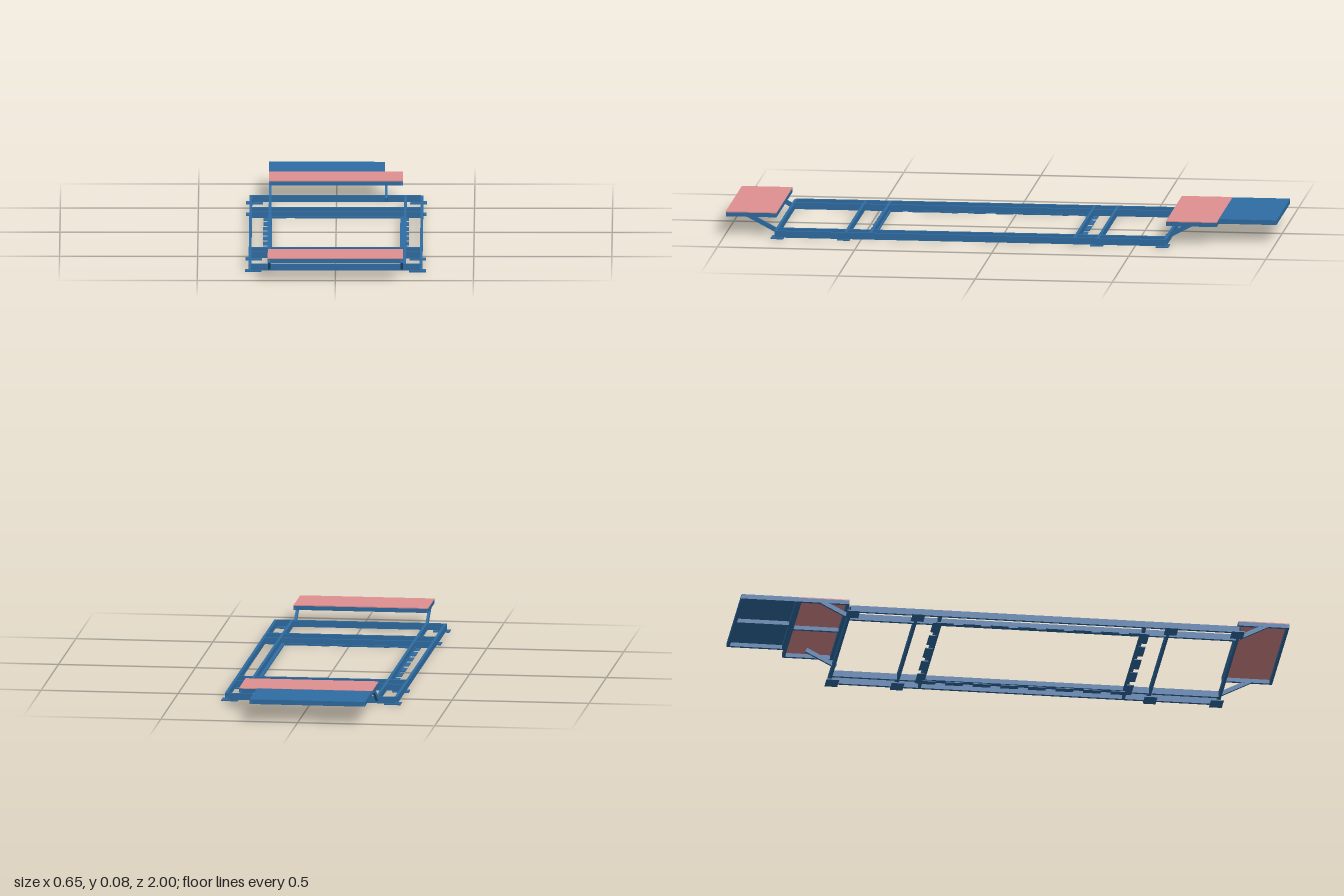
import * as THREE from 'three';

const blue = new THREE.MeshStandardMaterial({ color: 0x2f6ea5 });
const pink = new THREE.MeshStandardMaterial({ color: 0xe09090 });

// Open-ended rectangular tube running along z, centred on the origin
function tubeGeometry(w, h, length, wall = 0.0015) {
  const rect = (P, a, b) => {
    const p = new P();
    p.moveTo(-a, -b); p.lineTo(a, -b); p.lineTo(a, b); p.lineTo(-a, b); p.closePath();
    return p;
  };
  const s = rect(THREE.Shape, w / 2, h / 2);
  s.holes.push(rect(THREE.Path, w / 2 - wall, h / 2 - wall));
  return new THREE.ExtrudeGeometry(s, { depth: length, bevelEnabled: false }).translate(0, 0, -length / 2);
}

function add(parent, name, geometry, material, x, y, z) {
  const m = new THREE.Mesh(geometry, material);
  m.name = name;
  m.position.set(x, y, z);
  parent.add(m);
  return m;
}

function box(parent, name, material, x0, x1, y0, y1, z0, z1) {
  return add(parent, name, new THREE.BoxGeometry(x1 - x0, y1 - y0, z1 - z0), material,
    (x0 + x1) / 2, (y0 + y1) / 2, (z0 + z1) / 2);
}

const W = 0.01, Y0 = 0.004, H = 0.024, YC = Y0 + H / 2;

function railZ(parent, name, x, z0, z1, w = W, y = YC, h = H) {
  add(parent, name, tubeGeometry(w, h, z1 - z0), blue, x, y, (z0 + z1) / 2);
}

function railX(parent, name, z, x0, x1, w = W, y = YC, h = H) {
  add(parent, name, tubeGeometry(w, h, x1 - x0), blue, (x0 + x1) / 2, y, z).rotation.y = Math.PI / 2;
}

// Tray: rim of tubes under a thin top sheet, with an optional middle bar
function platform(parent, name, sheet, x0, x1, z0, z1, top, middle) {
  const g = new THREE.Group();
  g.name = name;
  parent.add(g);
  const t = 0.01, h = 0.015, y = 0.0645 + h / 2;
  for (const x of [x0 + t / 2, x1 - t / 2]) railZ(g, 'platformSideRail', x, z0, z1, t, y, h);
  for (const z of [z0 + t / 2, z1 - t / 2]) railX(g, 'platformEndRail', z, x0 + t, x1 - t, t, y, h);
  if (middle) railZ(g, 'platformMiddleBar', (x0 + x1) / 2, z0 + t, z1 - t, t, y, h);
  box(g, 'platformSheet', sheet, x0, x1, 0.0795, top, z0, z1);
}

// Sloping tube in the y-z plane
function strut(parent, x, z0, y0, z1, y1) {
  const dz = z1 - z0, dy = y1 - y0;
  const m = add(parent, 'strut', tubeGeometry(0.009, 0.016, Math.hypot(dz, dy)), blue, x, (y0 + y1) / 2, (z0 + z1) / 2);
  m.rotation.x = -Math.atan2(dy, dz);
}

export function createModel() {
  const model = new THREE.Group();
  model.name = 'platformFrame';

  // Main ladder frame
  const zBack = -0.61, zFront = 0.81;
  for (const x of [-0.31, 0.31]) railZ(model, 'outerRail', x, zBack, zFront);
  railZ(model, 'innerRail', -0.24, zBack, zFront);
  railZ(model, 'innerRail', 0.25, zBack, zFront);
  for (const z of [-0.61, -0.365, -0.28, 0.465, 0.555, 0.81]) railX(model, 'crossBeam', z, -0.305, 0.305);

  // Foot plates under the outer rails
  for (const x of [-0.297, 0.297])
    for (const z of [-0.6, -0.362, 0.562, 0.804])
      box(model, 'footPlate', blue, x - 0.03, x + 0.03, 0, 0.004, z - 0.023, z + 0.023);

  // Opening liner: flat ledge with spaced tabs around the outside
  const opening = new THREE.Group();
  opening.name = 'openingLiner';
  model.add(opening);
  for (const s of [-1, 1]) {
    const x = s * 0.24, z = 0.0925 + s * 0.369;
    box(opening, 'ledge', blue, x - 0.008, x + 0.008, 0.004, 0.009, -0.28, 0.465);
    box(opening, 'ledge', blue, -0.24, 0.24, 0.004, 0.009, z - 0.008, z + 0.008);
    const tx = s * 0.251, tz = 0.0925 + s * 0.382;
    for (let i = 0; i < 8; i++) {
      const c = -0.26 + i * 0.1007;
      box(opening, 'tab', blue, tx - 0.013, tx + 0.013, 0.001, 0.004, c - 0.032, c + 0.032);
    }
    for (let i = 0; i < 5; i++) {
      const c = -0.22 + i * 0.11;
      box(opening, 'tab', blue, c - 0.04, c + 0.04, 0.001, 0.004, tz - 0.013, tz + 0.013);
    }
  }

  // Raised platforms at both ends
  platform(model, 'frontStep', pink, -0.245, 0.245, 0.815, 1.0, 0.083, false);
  platform(model, 'backStep', pink, -0.245, 0.24, -0.79, -0.605, 0.083, true);
  platform(model, 'backDeck', blue, -0.245, 0.175, -1.0, -0.79, 0.082, true);

  // Struts carrying the platforms
  for (const x of [-0.24, 0.24]) strut(model, x, 0.81, 0.014, 0.92, 0.072);
  for (const x of [-0.24, 0.18]) strut(model, x, -0.6, 0.014, -0.71, 0.072);

  return model;
}
